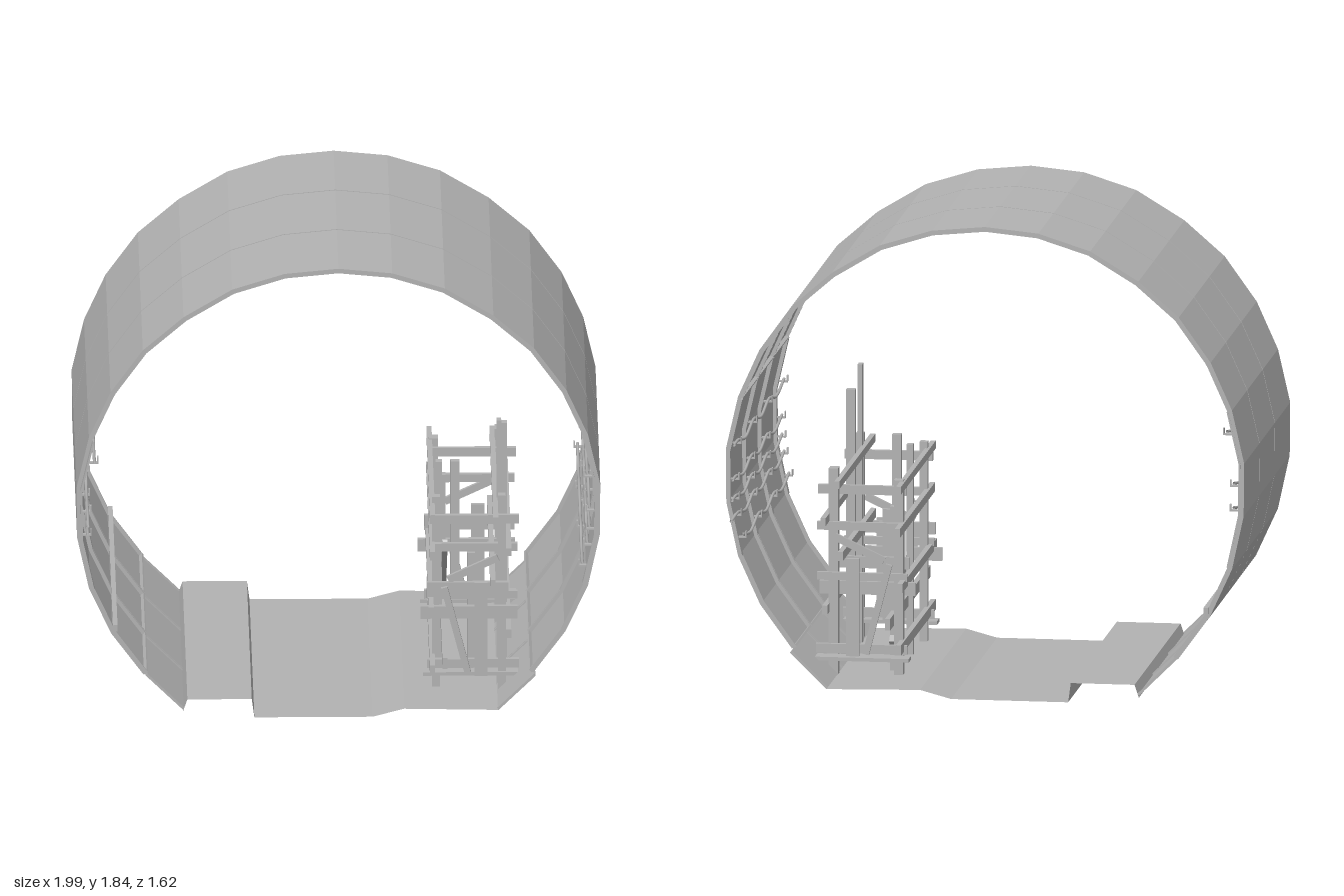
import * as THREE from 'three';

const steel = new THREE.MeshStandardMaterial({ color: 0xb2b2b2, side: THREE.DoubleSide });
steel.name = 'grey steel';

const CENTRE_Y = 0.87;
const HALF = 0.61;

// Half of the lining outline, from the crown down the +x side
const ARC = [[0, 1.85], [0.205, 1.83], [0.405, 1.767], [0.59, 1.655], [0.745, 1.52], [0.868, 1.348],
  [0.95, 1.165], [0.997, 0.96], [0.995, 0.755], [0.95, 0.548], [0.865, 0.362], [0.742, 0.193]];
const mirror = pts => pts.map(([x, y]) => [-x, y]);

function add(parent, name, geo) {
  const m = new THREE.Mesh(geo, steel);
  m.name = name;
  parent.add(m);
  return m;
}

// Curved strip between two fractions of the outline radius, from z0 to z1
function strip(parent, name, pts, outer, inner, z0, z1) {
  const at = k => ([x, y]) => new THREE.Vector2(x * k, CENTRE_Y + (y - CENTRE_Y) * k);
  const shape = new THREE.Shape([...pts.map(at(outer)), ...pts.map(at(inner)).reverse()]);
  const geo = new THREE.ExtrudeGeometry(shape, { depth: z1 - z0, bevelEnabled: false });
  geo.translate(0, 0, z0);
  return add(parent, name, geo);
}

function box(parent, name, x, y, z, w, h, d) {
  const m = add(parent, name, new THREE.BoxGeometry(w, h, d));
  m.position.set(x, y, z);
  return m;
}

// Straight board between two points
function board(parent, name, a, b, w, d) {
  const p = new THREE.Vector3(...a), q = new THREE.Vector3(...b);
  const m = add(parent, name, new THREE.BoxGeometry(w, p.distanceTo(q), d));
  m.position.copy(p).add(q).multiplyScalar(0.5);
  m.quaternion.setFromUnitVectors(new THREE.Vector3(0, 1, 0), q.sub(p).normalize());
  return m;
}

function buildLining() {
  const g = new THREE.Group();
  g.name = 'tunnelLining';
  const panels = [
    ['upperRightPanel', ARC.slice(0, 7)], ['lowerRightPanel', ARC.slice(6)],
    ['upperLeftPanel', mirror(ARC.slice(0, 6))], ['lowerLeftPanel', mirror(ARC.slice(5))],
    ['rightFootPanel', [[0.75, 0.178], [0.61, 0.04]]],
    ['leftFootPanel', [[-0.735, 0.19], [-0.592, 0.048]]]
  ];
  const bounds = [-HALF, -0.204, 0.204, HALF];
  for (const [name, pts] of panels) {
    const foot = name.includes('Foot');
    for (let i = 0; i < 3; i++) {
      const z0 = bounds[i] + (i ? 0.003 : 0), z1 = bounds[i + 1] - (i < 2 ? 0.003 : 0);
      strip(g, name, pts, 1, 0.995, z0, z1);
      // Inward flanges round each panel
      const depth = foot ? 0.99 : 0.981;
      strip(g, name + 'Flange', pts, 0.996, depth, z0, z0 + 0.008);
      strip(g, name + 'Flange', pts, 0.996, depth, z1 - 0.008, z1);
      if (foot) continue;
      for (const [x, y] of [pts[0], pts[pts.length - 1]]) {
        const k = 0.988;
        const bar = box(g, name + 'EndFlange', x * k, CENTRE_Y + (y - CENTRE_Y) * k,
          (z0 + z1) / 2, 0.016, 0.008, z1 - z0);
        bar.rotation.z = Math.atan2(y - CENTRE_Y, x);
      }
    }
  }
  return g;
}

// Folded floor sheet with a raised ledge along one side
function buildFloor() {
  const pts = [[0.61, 0.04], [0.25, 0.047], [0.13, 0.015], [-0.32, 0.015], [-0.33, 0.09],
    [-0.575, 0.09], [-0.592, 0.04]];
  const pos = [], index = [];
  pts.forEach(([x, y], i) => {
    pos.push(x, y, HALF, x, y, -HALF);
    if (i) index.push(2 * i - 2, 2 * i - 1, 2 * i, 2 * i - 1, 2 * i + 1, 2 * i);
  });
  const geo = new THREE.BufferGeometry();
  geo.setAttribute('position', new THREE.Float32BufferAttribute(pos, 3));
  geo.setIndex(index);
  const flat = geo.toNonIndexed();
  flat.computeVertexNormals();
  return add(new THREE.Group(), 'floorSheet', flat);
}

// Cable brackets with hooks, and sagging cables; side is +1 or -1 in x
function buildCables(side, cables) {
  const g = new THREE.Group();
  g.name = side > 0 ? 'leftCables' : 'rightCables';
  const arc = ARC.slice(6, 10).map(([x, y]) => [x * side, y]);
  const racks = [0.628, 0.215, -0.193, -0.595].map(z => -z * side);
  const wallX = y => {
    for (let i = 6; i < 10; i++) {
      const [x0, y0] = ARC[i], [x1, y1] = ARC[i + 1];
      if (y <= y0 && y >= y1) return x0 + (x1 - x0) * (y0 - y) / (y0 - y1);
    }
    return 0.95;
  };
  for (const z of racks) {
    strip(g, 'cableBracket', arc, 0.985, 0.978, z - 0.016, z + 0.016);
    for (const [y] of cables) {
      const x = wallX(y);
      box(g, 'cableHook', side * (x - 0.038), y - 0.01, z, 0.034, 0.006, 0.016);
      box(g, 'cableHookLip', side * (x - 0.053), y + 0.002, z, 0.005, 0.024, 0.016);
    }
  }
  for (const [y, end] of cables) {
    const x = side * (wallX(y) - 0.04);
    const path = [new THREE.Vector3(x, y, -side * end)];
    racks.forEach((z, i) => {
      path.push(new THREE.Vector3(x, y, z));
      if (i < 3) path.push(new THREE.Vector3(x, y - 0.028, (z + racks[i + 1]) / 2));
    });
    add(g, 'cable', new THREE.TubeGeometry(new THREE.CatmullRomCurve3(path), 40, 0.006, 6));
  }
  return g;
}

function buildScaffold() {
  const g = new THREE.Group();
  g.name = 'timberScaffold';
  // Posts: x, z, top, width, depth
  const posts = [[0.615, 0.33, 1.12, 0.018, 0.035], [0.63, 0.18, 1.05, 0.035, 0.03],
    [0.625, 0.4, 0.84, 0.03, 0.03], [0.625, -0.3, 0.84, 0.035, 0.05],
    [0.375, 0.36, 0.82, 0.03, 0.03], [0.39, 0.1, 0.86, 0.025, 0.03],
    [0.375, -0.3, 0.8, 0.035, 0.04], [0.41, -0.22, 0.68, 0.02, 0.03]];
  for (const [x, z, top, w, d] of posts) box(g, 'post', x, (top + 0.015) / 2, z, w, top - 0.015, d);
  box(g, 'shortPost', 0.45, 0.64, 0.16, 0.035, 0.49, 0.025);
  box(g, 'footBlock', 0.63, 0.035, 0.12, 0.05, 0.03, 0.07);

  // Cross boards: x from, x to, y, height
  const cross = [[0.35, 0.69, 0.75, 0.035], [0.35, 0.685, 0.62, 0.032], [0.34, 0.65, 0.47, 0.045],
    [0.34, 0.685, 0.425, 0.03], [0.315, 0.685, 0.37, 0.05], [0.34, 0.69, 0.145, 0.035]];
  cross.forEach(([x0, x1, y, h], i) => {
    for (const z of i % 2 ? [0.385, -0.33] : [0.425, -0.27])
      box(g, 'crossBoard', (x0 + x1) / 2, y, z, x1 - x0, h, 0.018);
  });
  for (const z of [0.39, -0.36]) box(g, 'solePlank', 0.51, 0.115, z, 0.37, 0.014, 0.07);

  // Long boards: x, y, z from, z to, height
  const long = [[0.36, 0.78, -0.42, 0.5, 0.03], [0.6, 0.79, -0.4, 0.55, 0.03],
    [0.65, 0.65, -0.42, 0.52, 0.03], [0.36, 0.62, -0.45, 0.48, 0.035],
    [0.59, 0.51, -0.38, 0.5, 0.035], [0.355, 0.4, -0.42, 0.5, 0.035],
    [0.405, 0.255, -0.4, 0.67, 0.045], [0.65, 0.3, -0.38, 0.48, 0.035],
    [0.36, 0.16, -0.42, 0.5, 0.04]];
  for (const [x, y, z0, z1, h] of long) box(g, 'longBoard', x, y, (z0 + z1) / 2, 0.02, h, z1 - z0);

  // Braces and loose upright boards at both ends
  for (const z of [0.45, -0.36]) {
    board(g, 'brace', [0.405, 0.48, z], [0.495, 0.13, z], 0.025, 0.015);
    board(g, 'brace', [0.42, 0.5, z - 0.03], [0.61, 0.59, z - 0.03], 0.028, 0.015);
    box(g, 'uprightBoard', 0.545, 0.31, z, 0.05, 0.38, 0.018);
  }
  box(g, 'innerUpright', 0.51, 0.35, 0.3, 0.03, 0.43, 0.02);
  board(g, 'sideBrace', [0.41, 0.15, -0.25], [0.41, 0.6, 0.3], 0.02, 0.03);
  return g;
}

export function createModel() {
  const model = new THREE.Group();
  model.name = 'tunnelSection';
  model.add(buildLining(), buildFloor());
  // Each cable: height and how far it runs past the end
  model.add(buildCables(-1, [[1.08, 0.65], [0.88, 0.81], [0.785, 0.65]]));
  model.add(buildCables(1, [[1.0, 0.73], [0.86, 0.71], [0.785, 0.73], [0.72, 0.81], [0.635, 0.64]]));
  // Rail along the lower wall
  box(model, 'wallRail', -0.85, 0.385, 0, 0.018, 0.025, 1.23);
  model.add(buildScaffold());
  return model;
}
